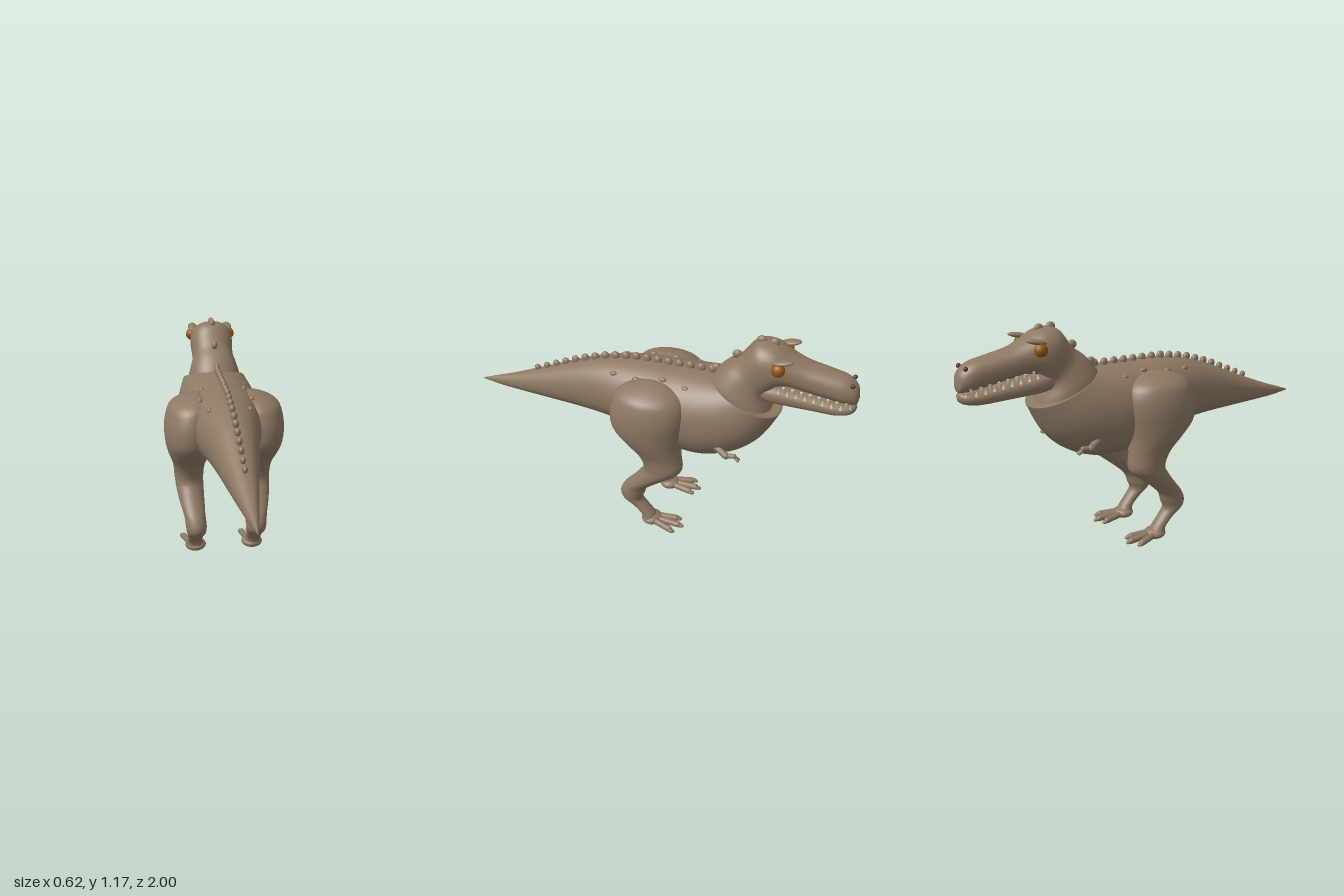
import * as THREE from 'three';

const mat = (name, color) => {
  const m = new THREE.MeshStandardMaterial({ color });
  m.name = name;
  return m;
};

// Smooth value between table rows
function spline(rows, t, k) {
  const n = rows.length - 1, i = Math.min(Math.floor(t), n - 1), f = t - i;
  const g = j => rows[Math.max(0, Math.min(n, j))][k] ?? 0;
  const [a, b, c, d] = [g(i - 1), g(i), g(i + 1), g(i + 2)];
  return b + 0.5 * f * (c - a + f * (2 * a - 5 * b + 4 * c - d + f * (3 * (b - c) + d - a)));
}

// Loft through rows of [topZ, topY, bottomZ, bottomY, halfWidth, centreX]
function loft(rows, power = 1, steps = 5, seg = 40) {
  const pos = [], idx = [], count = (rows.length - 1) * steps;
  const bend = v => Math.sign(v) * Math.abs(v) ** power;
  for (let i = 0; i <= count; i++) {
    const [tz, ty, bz, by, w, x] = [0, 1, 2, 3, 4, 5].map(k => spline(rows, i / steps, k));
    for (let j = 0; j < seg; j++) {
      const a = j / seg * Math.PI * 2, s = (bend(Math.sin(a)) + 1) / 2;
      pos.push(x + Math.max(w, 0.0005) * bend(Math.cos(a)), by + (ty - by) * s, bz + (tz - bz) * s);
      if (i < count) {
        const p = i * seg + j, q = i * seg + (j + 1) % seg;
        idx.push(p, p + seg, q, q, p + seg, q + seg);
      }
    }
  }
  const g = new THREE.BufferGeometry();
  g.setAttribute('position', new THREE.Float32BufferAttribute(pos, 3));
  g.setIndex(idx);
  g.computeVertexNormals();
  return g;
}

export function createModel() {
  const root = new THREE.Group();
  const skin = mat('brown skin', 0x8d7963), amber = mat('amber eye', 0x96560f);
  const ivory = mat('ivory tooth', 0xd6d2be), dark = mat('dark nostril', 0x4d3e31);

  const add = (name, geo, m, parent = root) => {
    const mesh = new THREE.Mesh(geo, m);
    mesh.name = name;
    parent.add(mesh);
    return mesh;
  };
  const ball = new THREE.SphereGeometry(1, 20, 14);
  const blob = (name, x, y, z, rx, ry, rz, m = skin, parent = root) => {
    const b = add(name, ball, m, parent);
    b.position.set(x, y, z);
    b.scale.set(rx, ry, rz);
    return b;
  };
  // Rounded limb piece between two points
  const limb = (name, a, b, r, parent = root) => {
    const p = new THREE.Vector3(...a), q = new THREE.Vector3(...b), d = q.clone().sub(p);
    const mesh = add(name, new THREE.CapsuleGeometry(r, d.length(), 6, 14), skin, parent);
    mesh.position.copy(p).add(q).multiplyScalar(0.5);
    mesh.quaternion.setFromUnitVectors(new THREE.Vector3(0, 1, 0), d.normalize());
    return mesh;
  };

  // Tail, trunk and chest, ending in a slanted collar
  add('bodyAndTail', loft([
    [1, 0.618, 1, 0.612, 0],
    [0.9, 0.653, 0.9, 0.602, 0.021],
    [0.8, 0.688, 0.8, 0.597, 0.04],
    [0.6, 0.768, 0.6, 0.592, 0.076],
    [0.4, 0.852, 0.4, 0.587, 0.112],
    [0.25, 0.9, 0.25, 0.578, 0.142],
    [0.1, 0.924, 0.1, 0.56, 0.178],
    [0, 0.93, -0.05, 0.52, 0.2],
    [-0.1, 0.93, -0.17, 0.482, 0.215],
    [-0.17, 0.932, -0.32, 0.482, 0.222],
    [-0.23, 0.932, -0.47, 0.54, 0.214],
    [-0.27, 0.932, -0.575, 0.635, 0.198],
    [-0.3, 0.93, -0.645, 0.765, 0.172],
    [-0.31, 0.928, -0.648, 0.785, 0.165],
    [-0.325, 0.915, -0.62, 0.79, 0.15],
    [-0.45, 0.83, -0.46, 0.82, 0],
  ], 0.95), skin);

  // Neck, skull and upper jaw
  add('neckAndHead', loft([
    [-0.28, 0.84, -0.62, 0.73, 0.145],
    [-0.3, 0.92, -0.6, 0.81, 0.143],
    [-0.36, 0.995, -0.585, 0.85, 0.126],
    [-0.43, 1.05, -0.58, 0.87, 0.113],
    [-0.485, 1.125, -0.59, 0.89, 0.115],
    [-0.53, 1.15, -0.605, 0.91, 0.117],
    [-0.6, 1.143, -0.625, 0.935, 0.112],
    [-0.68, 1.1, -0.68, 0.945, 0.094],
    [-0.75, 1.073, -0.75, 0.932, 0.083],
    [-0.85, 1.052, -0.85, 0.915, 0.077],
    [-0.93, 1.034, -0.93, 0.903, 0.07],
    [-0.975, 1.005, -0.98, 0.9, 0.052],
    [-0.993, 0.975, -0.995, 0.906, 0.03],
    [-1, 0.94, -1, 0.93, 0],
  ], 0.88), skin);
  add('lowerJaw', loft([
    [-0.48, 0.92, -0.5, 0.9, 0],
    [-0.53, 0.95, -0.54, 0.862, 0.075],
    [-0.6, 0.955, -0.6, 0.848, 0.094],
    [-0.7, 0.938, -0.7, 0.841, 0.085],
    [-0.8, 0.921, -0.8, 0.837, 0.075],
    [-0.9, 0.905, -0.9, 0.834, 0.067],
    [-0.96, 0.9, -0.96, 0.842, 0.052],
    [-0.987, 0.896, -0.987, 0.855, 0.03],
    [-0.997, 0.88, -0.997, 0.873, 0],
  ], 0.85), skin);

  // Teeth along both jaws
  const teeth = new THREE.Group();
  teeth.name = 'teeth';
  root.add(teeth);
  const cone = new THREE.ConeGeometry(0.0075, 0.026, 8);
  for (const s of [-1, 1]) for (let i = 0; i < 17; i++) {
    const z = -0.64 - i * 0.0205, front = Math.max(0, (-0.9 - z) / 0.08);
    const x = 0.09 - (-0.64 - z) * 0.095 - 0.028 * front * front;
    const tooth = add('tooth', cone, ivory, teeth);
    tooth.position.set(s * x, 0.951 - (-0.64 - z) * 0.16 + (i % 2 ? 0.006 : -0.006), z);
    tooth.rotation.x = i % 2 ? Math.PI : 0;
  }

  for (const s of [-1, 1]) {
    const side = s > 0 ? 'left' : 'right';
    // Eye, brow horn and nostril
    blob(side + 'Eye', s * 0.108, 1.066, -0.63, 0.029, 0.032, 0.032, amber);
    blob(side + 'Brow', s * 0.098, 1.104, -0.645, 0.026, 0.013, 0.052).rotation.x = 0.2;
    blob(side + 'Nostril', s * 0.043, 1.012, -0.963, 0.011, 0.011, 0.011, dark);

    // Thigh, shin and ankle
    const leg = new THREE.Group();
    leg.name = side + 'Leg';
    root.add(leg);
    const rows = [
      [0.9, -0.03, 0.01, 0.14, 0],
      [0.885, -0.03, 0.09, 0.15, 0.06],
      [0.85, -0.03, 0.155, 0.165, 0.11],
      [0.8, -0.03, 0.182, 0.175, 0.124],
      [0.73, -0.025, 0.192, 0.18, 0.13],
      [0.65, -0.025, 0.182, 0.18, 0.125],
      [0.58, -0.05, 0.15, 0.18, 0.11],
      [0.5, -0.09, 0.115, 0.18, 0.085],
      [0.42, -0.108, 0.1, 0.18, 0.077],
      [0.36, -0.06, 0.082, 0.178, 0.072],
      [0.3, 0, 0.068, 0.172, 0.064],
      [0.25, 0.045, 0.064, 0.165, 0.056],
      [0.2, 0.065, 0.066, 0.16, 0.055],
      [0.16, 0.065, 0.053, 0.16, 0.05],
      [0.12, 0.025, 0.042, 0.16, 0.041],
      [0.07, -0.02, 0.037, 0.16, 0.041],
      [0.03, -0.035, 0.04, 0.158, 0.046],
      [0.012, -0.035, 0.001, 0.158, 0],
    ];
    add('thighAndShin', loft(rows.map(([y, z, rz, x, rx]) => [z - rz, y, z + rz, y, rx, s * x])), skin, leg);

    // Foot with three toes
    blob('foot', s * 0.156, 0.034, -0.04, 0.057, 0.03, 0.055, skin, leg);
    for (const [x, z] of [[0.118, -0.165], [0.163, -0.19], [0.212, -0.155]]) {
      limb('toe', [s * (0.156 + (x - 0.16) * 0.45), 0.034, -0.055], [s * x, 0.028, z], 0.017, leg);
      const tip = blob('claw', s * (x + (x - 0.16) * 0.12), 0.025, z - 0.012, 0.013, 0.011, 0.022, skin, leg);
      tip.rotation.x = -0.15;
    }

    // Tiny arm with two fingers
    const arm = new THREE.Group();
    arm.name = side + 'Arm';
    root.add(arm);
    limb('upperArm', [s * 0.165, 0.62, -0.36], [s * 0.195, 0.588, -0.435], 0.017, arm);
    limb('forearm', [s * 0.195, 0.588, -0.435], [s * 0.19, 0.592, -0.475], 0.012, arm);
    for (const d of [-1, 1])
      limb('finger', [s * 0.19, 0.59, -0.47], [s * (0.19 + d * 0.008), 0.574, -0.497], 0.007, arm);

    // Scattered skin bumps on the back
    for (const [x, y, z] of [[0.13, 0.885, -0.2], [0.11, 0.9, -0.08], [0.13, 0.886, 0.05], [0.1, 0.875, 0.18], [0.085, 0.825, 0.32]])
      blob('skinBump', s * x, y, z, 0.013, 0.013, 0.02);
  }

  // Row of bumps down the spine, neck and crown
  const ridge = [[0.7, 0.728], [0.6, 0.768], [0.4, 0.852], [0.25, 0.9], [0.1, 0.924], [-0.3, 0.932]];
  const ridgeY = z => {
    const i = Math.max(1, ridge.findIndex(p => p[0] <= z));
    const [a, b] = [ridge[i - 1], ridge[i]];
    return a[1] + (b[1] - a[1]) * (z - a[0]) / (b[0] - a[0]);
  };
  for (let i = 0; i < 18; i++) {
    const z = 0.655 - i * 0.056, r = 0.015 + 0.004 * Math.min(1, i / 5);
    blob('spineBump', 0, ridgeY(z) + 0.009, z, r * 0.85, r * 1.25, r * 1.1).rotation.x = 0.35;
  }
  for (const [y, z] of [[0.955, -0.315], [1.05, -0.415], [1.148, -0.525], [1.145, -0.585]])
    blob('neckBump', 0, y, z, 0.016, 0.022, 0.024);

  return root;
}
